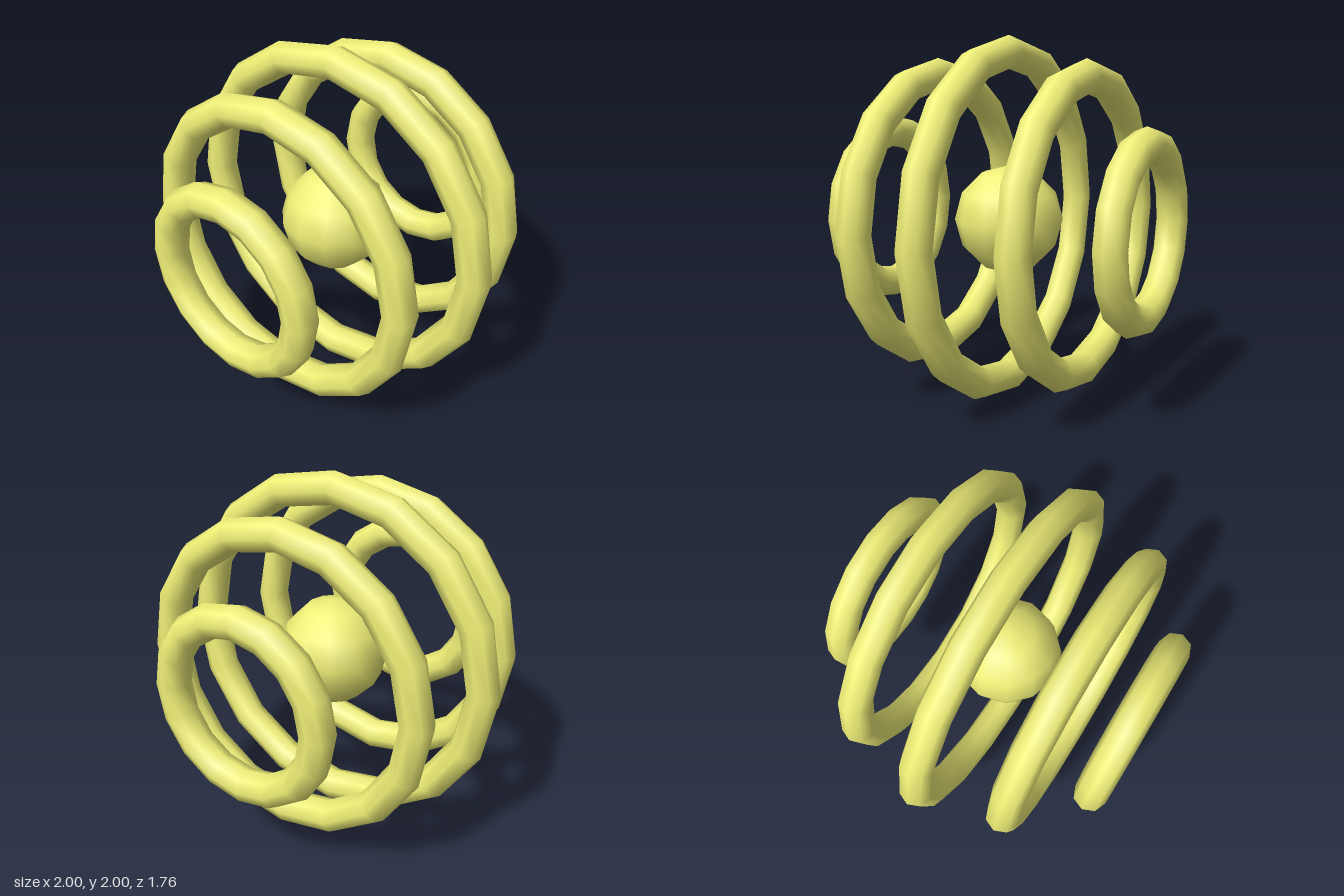
import * as THREE from 'three';

export function createModel() {
  const model = new THREE.Group();
  const material = new THREE.MeshStandardMaterial({ color: 0xeeee77 });
  const shellRadius = 0.91, tubeRadius = 0.09;

  const add = (name, geometry, z = 0) => {
    const mesh = new THREE.Mesh(geometry, material);
    mesh.name = name;
    mesh.position.set(0, 1, z);
    model.add(mesh);
  };

  // Core ball
  add('coreBall', new THREE.SphereGeometry(0.3, 12, 6));

  // Parallel rings, spaced every 30 degrees of latitude on a sphere
  const names = ['backSmallRing', 'backMiddleRing', 'centreRing', 'frontMiddleRing', 'frontSmallRing'];
  names.forEach((name, i) => {
    const latitude = (i - 2) * Math.PI / 6;
    const ring = new THREE.TorusGeometry(shellRadius * Math.cos(latitude), tubeRadius, 8, 16);
    add(name, ring, shellRadius * Math.sin(latitude));
  });

  return model;
}
